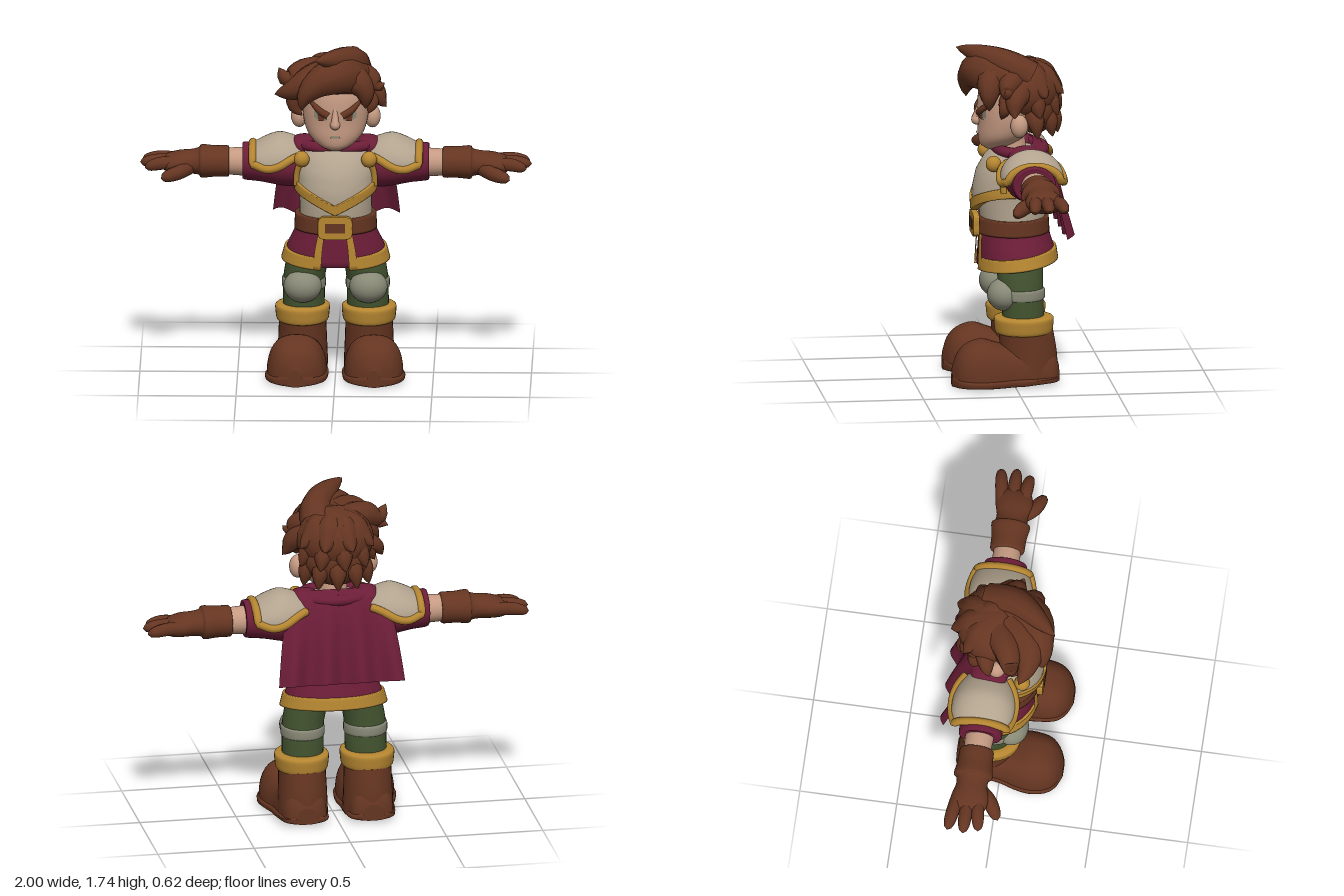
import * as THREE from 'three';
import { mergeVertices } from 'three/addons/utils/BufferGeometryUtils.js';

const mat = (name, color) => Object.assign(new THREE.MeshStandardMaterial({ color, side: THREE.DoubleSide }), { name });
const M = {
  brown: mat('leather and hair brown', 0x653521), skin: mat('skin', 0xc59a82), maroon: mat('maroon cloth', 0x6c1d38),
  gold: mat('gold trim', 0xb58631), cream: mat('pale armour', 0xb3a48f), green: mat('green trousers', 0x435430),
  grey: mat('grey knee guard', 0x898977),
};
const N = 32, PI = Math.PI;

// Skin a list of point rings; winding is corrected so faces look outward
function loft(rings, closed = true) {
  const n = rings[0].length, pos = rings.flat(2), idx = [];
  for (let i = 0; i < rings.length - 1; i++) for (let j = 0; j < (closed ? n : n - 1); j++) {
    const a = i * n + j, b = i * n + (j + 1) % n;
    idx.push(a, b, b + n, a, b + n, a + n);
  }
  if (closed) [rings[0], rings.at(-1)].forEach((r, e) => {
    const base = pos.length / 3;
    pos.push(...[0, 1, 2].map(k => r.reduce((s, p) => s + p[k], 0) / n), ...r.flat());
    for (let j = 0; j < n; j++) {
      const a = base + 1 + j, b = base + 1 + (j + 1) % n;
      idx.push(base, e ? a : b, e ? b : a);
    }
  });
  const g = new THREE.BufferGeometry();
  g.setAttribute('position', new THREE.Float32BufferAttribute(pos, 3));
  g.computeBoundingBox();
  const c = g.boundingBox.getCenter(new THREE.Vector3());
  const v = k => new THREE.Vector3(pos[k * 3], pos[k * 3 + 1], pos[k * 3 + 2]).sub(c);
  let vol = 0;
  for (let i = 0; i < idx.length; i += 3) vol += v(idx[i]).dot(v(idx[i + 1]).cross(v(idx[i + 2])));
  if (vol < 0) idx.reverse();
  g.setIndex(idx);
  g.computeVertexNormals();
  return g;
}
// Catmull-Rom resampling of section rows
function dense(s, k = 4) {
  const out = [], q = i => s[Math.max(0, Math.min(s.length - 1, i))];
  for (let i = 0; i < s.length - 1; i++) for (let m = 0; m < k; m++) {
    const t = m / k;
    out.push(s[i].map((_, d) => {
      const [a, b, c, e] = [q(i - 1)[d], q(i)[d], q(i + 1)[d], q(i + 2)[d]];
      return b + 0.5 * t * (c - a + t * (2 * a - 5 * b + 4 * c - e + t * (3 * (b - c) + e - a)));
    }));
  }
  return [...out, s.at(-1)];
}
const around = f => Array.from({ length: N }, (_, i) => f(i / N * 2 * PI));
// Sections [y, cx, cz, rx, rz] along y, or [x, cy, cz, ry, rz] along x
const loftY = s => loft(dense(s).map(([y, cx, cz, rx, rz]) => around(t => [cx + rx * Math.sin(t), y, cz + rz * Math.cos(t)])));
const loftX = (s, side) => loft(dense(s).map(([x, cy, cz, ry, rz]) => around(t => [side * x, cy + ry * Math.sin(t), cz + rz * Math.cos(t)])));
// Interpolated section row at height y
function at(s, y) {
  let i = 0;
  while (i < s.length - 2 && s[i + 1][0] < y) i++;
  const t = Math.max(0, Math.min(1, (y - s[i][0]) / (s[i + 1][0] - s[i][0])));
  return s[i].map((v, d) => v + (s[i + 1][d] - v) * t);
}
// Band hugging a body profile between two heights given by angle
function hug(s, a0, a1, lo, hi, off, inner) {
  const rows = [[0, inner], ...Array.from({ length: 9 }, (_, i) => [i / 8, off]), [1, inner]];
  return loft(rows.map(([t, o]) => Array.from({ length: 49 }, (_, j) => {
    const a = a0 + (a1 - a0) * j / 48, y = lo(a) + (hi(a) - lo(a)) * t, [, cx, cz, rx, rz] = at(s, y);
    return [cx + (rx + o) * Math.sin(a), y, cz + (rz + o) * Math.cos(a)];
  })), false);
}
// Tube along a curve with a radius rule
function taper(pts, rule, seg = 14) {
  const curve = new THREE.CatmullRomCurve3(pts.map(p => new THREE.Vector3(...p)));
  const g = new THREE.TubeGeometry(curve, seg, 1, 10), p = g.attributes.position, v = new THREE.Vector3();
  for (let i = 0; i < p.count; i++) {
    const t = Math.floor(i / 11) / seg, c = curve.getPointAt(t);
    v.fromBufferAttribute(p, i).sub(c).multiplyScalar(Math.max(rule(t), 0.0005)).add(c);
    p.setXYZ(i, v.x, v.y, v.z);
  }
  g.deleteAttribute('uv'); g.deleteAttribute('normal');
  const m = mergeVertices(g, 1e-5);
  m.computeVertexNormals();
  return m;
}
const ball = (x, y, z, rx, ry, rz) => new THREE.SphereGeometry(1, 28, 20).scale(rx, ry, rz).translate(x, y, z);

export function createModel() {
  const root = new THREE.Group();
  const add = (name, g, m) => { const o = new THREE.Mesh(g, m); o.name = name; root.add(o); };

  // Head and face
  const head = [[1.195, 0, .085, .03, .03], [1.22, 0, .065, .085, .085], [1.27, 0, .035, .138, .125], [1.34, 0, .012, .163, .148],
    [1.42, 0, 0, .17, .163], [1.5, 0, -.01, .168, .162], [1.58, 0, -.02, .13, .13], [1.62, 0, -.02, .04, .04]];
  add('head', loftY(head), M.skin);
  add('neck', loftY([[1.12, 0, -.02, .08, .08], [1.26, 0, -.01, .07, .07]]), M.skin);
  add('nose', ball(0, 1.345, .162, .026, .027, .032), M.skin);
  add('noseBridge', taper([[0, 1.43, .15], [0, 1.39, .16], [0, 1.35, .175]], t => .012 + .008 * t), M.skin);
  const patch = (name, pts, s, off, m) => {
    const g = new THREE.ShapeGeometry(new THREE.Shape(pts.map(([x, y]) => new THREE.Vector2(x * s, y)))), p = g.attributes.position;
    for (let i = 0; i < p.count; i++) {
      const [, , cz, rx, rz] = at(head, p.getY(i));
      p.setZ(i, cz + rz * Math.sqrt(1 - (p.getX(i) / rx) ** 2) + off);
    }
    g.computeVertexNormals();
    add(name, g, m);
  };
  for (const s of [-1, 1]) {
    patch('eyeWhite', [[.042, 1.368], [.085, 1.36], [.108, 1.378], [.108, 1.41], [.08, 1.41], [.045, 1.39]], s, .006, M.grey);
    patch('iris', [[.055, 1.367], [.085, 1.362], [.092, 1.41], [.058, 1.4]], s, .009, M.brown);
    add('eyebrow', taper([[s * .035, 1.39, .158], [s * .075, 1.413, .148], [s * .128, 1.458, .108]], t => .019 * Math.sqrt(1 - t * t * .9)), M.brown);
    add('ear', ball(s * .187, 1.345, -.03, .042, .06, .045), M.skin);
  }
  patch('mouth', [[-.028, 1.274], [.028, 1.274], [.022, 1.284], [-.022, 1.284]], 1, .008, M.grey);

  // Hair: a cap and pointed locks
  add('hairCap', ball(0, 1.5, -.07, .2, .165, .19), M.brown);
  add('hairBack', ball(0, 1.41, -.13, .17, .14, .115), M.brown);
  const lock = (r, ...pts) => add('hairLock', taper(pts, t => r * Math.pow(1 - t * t, .8)), M.brown);
  lock(.085, [.1, 1.58, -.1], [.08, 1.645, .02], [.01, 1.68, .13], [-.1, 1.705, .26]);
  lock(.115, [.08, 1.56, .0], [.01, 1.6, .13], [-.1, 1.56, .18], [-.16, 1.49, .2], [-.17, 1.43, .2]);
  lock(.1, [.0, 1.57, .02], [-.11, 1.57, .12], [-.22, 1.52, .13], [-.31, 1.49, .1]);
  lock(.085, [-.05, 1.57, -.04], [-.16, 1.585, .02], [-.25, 1.56, .05], [-.29, 1.62, .06]);
  lock(.07, [-.1, 1.54, -.02], [-.19, 1.49, .04], [-.21, 1.42, .06], [-.17, 1.37, .07]);
  lock(.06, [-.1, 1.5, -.1], [-.21, 1.45, -.08], [-.25, 1.39, -.06]);
  lock(.085, [.04, 1.58, .02], [.1, 1.57, .1], [.15, 1.51, .12], [.155, 1.42, .12]);
  lock(.075, [.06, 1.57, -.04], [.17, 1.56, .02], [.22, 1.52, .04], [.25, 1.54, .05]);
  lock(.075, [.1, 1.53, -.06], [.2, 1.48, -.01], [.235, 1.43, .0], [.26, 1.4, .0]);
  lock(.055, [.11, 1.5, -.0], [.185, 1.44, .04], [.17, 1.38, .06]);
  lock(.075, [.06, 1.54, .0], [.04, 1.605, -.06], [.0, 1.61, -.15], [-.02, 1.615, -.22]);
  // rows of long locks over the back
  [[1.54, .085, 4, 1.0, .03], [1.46, .08, 5, 1.3, .0], [1.37, .07, 5, 1.15, -.02]].forEach(([y, r, n, spread, lift], k) => {
    for (let i = 0; i < n; i++) {
      const a = PI + spread * (2 * i / (n - 1) - 1) + (k % 2 ? .1 : -.08), X = Math.sin(a), Z = Math.cos(a);
      const p = (d, h) => [X * d, y + h, -.065 + Z * d];
      lock(r, p(.02, .04), p(.1, .03), p(.16, -.01), p(.225 - .02 * k, -.08 + lift));
    }
  });

  // Torso, breastplate and trim
  const torso = [[.8, 0, -.02, .185, .165], [.92, 0, -.015, .186, .17], [1.05, 0, -.01, .19, .155], [1.17, 0, -.03, .17, .13], [1.2, 0, -.03, .11, .09]];
  add('torso', loftY(torso), M.cream);
  const plate = [[.86, 0, .005, .19, .18], [.98, 0, .005, .2, .187], [1.08, 0, -.005, .2, .175], [1.16, 0, -.025, .18, .15], [1.2, 0, -.03, .13, .11]];
  const edge = a => .98 - .1 * (Math.cos(a) > 0 ? 1 - Math.abs(Math.sin(a)) : 0);
  add('breastplate', hug(plate, -PI, PI, edge, () => 1.19, 0, -.03), M.cream);
  add('breastplateTrim', hug(plate, -PI, PI, a => edge(a) - .008, a => edge(a) + .045, .012, -.03), M.gold);
  add('collar', new THREE.TorusGeometry(.14, .036, 12, 40).rotateX(PI / 2).scale(1.15, .8, .85).translate(0, 1.195, -.055), M.maroon);

  // Cape with broad folds widening to the hem
  const cape = Array.from({ length: 21 }, (_, i) => Array.from({ length: 61 }, (_, j) => {
    const v = i / 20, u = j / 30 - 1, fold = Math.cos(u * 3.6 * PI + .5);
    return [u * (.215 + .11 * Math.sqrt(v)), 1.24 - .02 * u * u * (1 - v) - .46 * Math.pow(v, 1.2) - .008 * v * fold,
      -.12 - .125 * Math.pow(v, .35) - .035 * v + .06 * u * u * (1 - v) + .026 * v * fold];
  }));
  add('cape', loft(cape, false), M.maroon);

  // Belt, buckle and skirt
  const waist = [[.76, 0, -.015, .2, .18], [.85, 0, -.015, .195, .175]];
  add('belt', hug(waist, -PI, PI, () => .765, () => .845, .012, -.03), M.brown);
  const frame = new THREE.Shape(new THREE.SplineCurve([[-.085, 0], [-.075, .05], [0, .056], [.075, .05], [.085, 0], [.075, -.05], [0, -.056], [-.075, -.05], [-.085, 0]].map(p => new THREE.Vector2(...p))).getPoints(32));
  add('buckle', new THREE.ExtrudeGeometry(frame, { depth: .025, bevelSize: .004, bevelThickness: .004, bevelSegments: 2 }).translate(0, .806, .165), M.gold);
  add('buckleCentre', new THREE.BoxGeometry(.1, .05, .009).translate(0, .806, .193), M.brown);
  const skirt = [[.58, 0, -.04, .272, .205], [.68, 0, -.035, .245, .195], [.76, 0, -.025, .205, .18], [.84, 0, -.02, .185, .165]];
  const hem = a => .585 + .024 * (1 - Math.cos(a));
  add('skirt', hug(skirt, -PI, PI, a => hem(a) + .005, () => .82, 0, -.02), M.maroon);
  add('skirtHem', hug(skirt, .3, 2 * PI - .3, a => hem(a) - .008, a => hem(a) + .055, .012, -.025), M.gold);
  for (const s of [-1, 1]) add('skirtFrontTrim', hug(skirt, s * .26, s * .42, a => hem(a) - .008, () => .765, .012, -.01), M.gold);
  add('hips', loftY([[.6, 0, -.04, .13, .12], [.64, 0, -.04, .19, .14], [.78, 0, -.03, .17, .14]]), M.green);

  for (const s of [-1, 1]) {
    // Arm: sleeve, forearm, glove
    add('sleeve', loftX([[.14, 1.075, -.07, .1, .12], [.25, 1.08, -.075, .115, .125], [.38, 1.088, -.075, .1, .112], [.468, 1.095, -.075, .096, .11], [.474, 1.095, -.075, .08, .09]], s), M.maroon);
    add('forearm', loftX([[.42, 1.09, -.075, .075, .075], [.5, 1.09, -.078, .072, .072], [.58, 1.09, -.08, .066, .066]], s), M.skin);
    add('glove', loftX([[.545, 1.09, -.08, .07, .08], [.555, 1.09, -.08, .08, .088], [.62, 1.09, -.08, .08, .09], [.685, 1.09, -.08, .085, .1], [.7, 1.09, -.08, .07, .085],
      [.74, 1.088, -.08, .062, .08], [.8, 1.085, -.08, .058, .095], [.86, 1.08, -.085, .045, .09], [.89, 1.078, -.09, .02, .06]], s), M.brown);
    [[-.14, -.172, .99, 1.075], [-.09, -.09, 1.0, 1.08], [-.04, -.015, .975, 1.07]].forEach(([z0, z1, x, y]) =>
      add('finger', taper([[s * .8, 1.085, z0], [s * .89, 1.09, (z0 + z1) / 2], [s * x, y, z1]], t => .035 * Math.sqrt(1 - t ** 5)), M.brown));
    add('thumb', taper([[s * .74, 1.07, -.05], [s * .8, 1.055, .02], [s * .89, 1.035, .075]], t => .038 * Math.sqrt(1 - t ** 5)), M.brown);

    // Shoulder guard arched over the sleeve, with rolled edge rising toward the neck
    const guard = dense([[.17, 1.11, -.08, .095, .12, .45], [.22, 1.1, -.08, .128, .148, .3], [.29, 1.1, -.08, .143, .162, .0], [.36, 1.1, -.08, .12, .158, -.1], [.425, 1.1, -.08, .085, .135, .1]]).map(([x, cy, cz, ry, rz, rise]) =>
      Array.from({ length: 25 }, (_, j) => { const a = rise + (PI - 2 * rise) * j / 24; return [s * x, cy + ry * Math.sin(a), cz + rz * Math.cos(a)]; }));
    add('shoulderGuard', loft(guard, false), M.cream);
    add('shoulderGuardTrim', taper([...guard.map(r => r[0]), ...guard.at(-1).slice(1, -1), ...guard.map(r => r[24]).reverse()], () => .021, 70), M.gold);
    add('capeShoulder', ball(s * .16, 1.185, -.07, .085, .05, .095), M.maroon);
    add('strapStud', ball(s * .172, 1.148, .1, .04, .042, .04), M.gold);
    add('armholeTrim', taper([[s * .175, 1.14, .08], [s * .196, 1.07, .06], [s * .2, 1.0, .05]], () => .016), M.gold);

    // Leg, knee guard and boot
    add('leg', loftY([[.28, s * .165, -.055, .105, .105], [.4, s * .163, -.05, .107, .108], [.52, s * .158, -.04, .107, .115], [.7, s * .12, -.035, .11, .125]]), M.green);
    add('kneeStrap', loftY([[.44, s * .163, -.045, .105, .108], [.448, s * .163, -.045, .112, .119], [.488, s * .163, -.045, .112, .119], [.497, s * .163, -.045, .105, .11]]), M.grey);
    add('kneeGuard', ball(s * .168, .465, .045, .098, .085, .088), M.grey);
    add('bootCuff', loftY([[.262, s * .17, -.055, .115, .13], [.272, s * .17, -.055, .132, .146], [.31, s * .17, -.055, .138, .152], [.345, s * .17, -.055, .138, .152], [.355, s * .17, -.055, .115, .13]]), M.gold);
    add('bootShaft', loftY([[.03, s * .17, -.08, .13, .15], [.15, s * .17, -.08, .125, .146], [.28, s * .17, -.065, .12, .14]]), M.brown);
    const foot = (grow, top) => loft(dense([[-.232, .172, .06, .1], [-.2, .172, .11, .17], [-.1, .175, .128, .22], [0, .182, .135, .2], [.08, .19, .152, .215], [.16, .198, .157, .238],
      [.24, .198, .142, .215], [.29, .2, .1, .165], [.318, .2, .035, .09]]).map(([z, cx, w, h]) => around(t => {
      const c = Math.cos(t), q = Math.sin(t);
      return [s * (cx + (w + grow) * Math.sign(c) * Math.abs(c) ** .75), q > 0 ? .03 + (Math.min(h, top) - .03) * q ** .85 : .03 - .03 * Math.abs(q) ** .4 + Math.max(0, -z - .05) * .08, z];
    })));
    add('boot', foot(-.006, 1), M.brown);
    add('bootSole', foot(.004, .06), M.brown);
  }
  return root;
}
